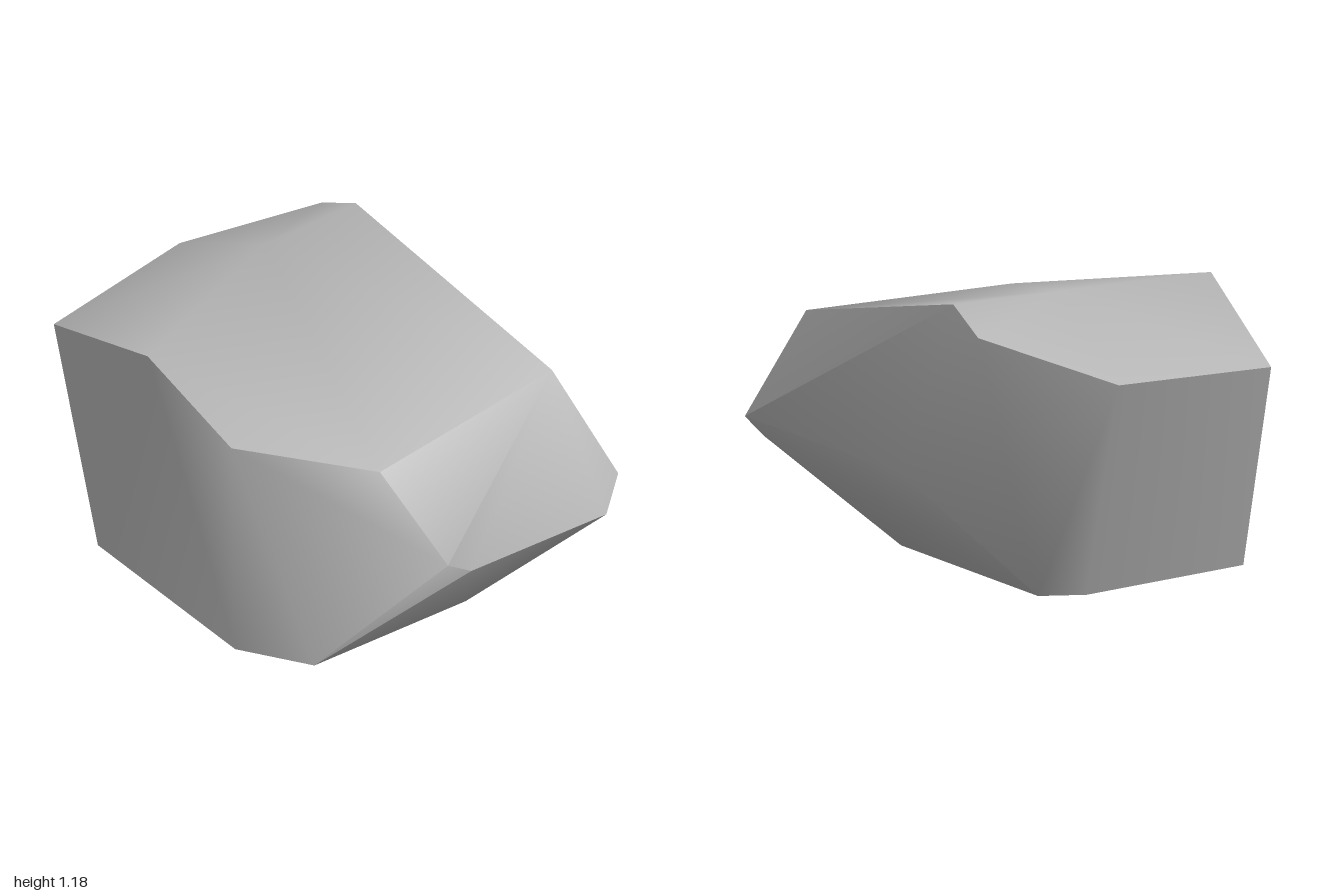
import * as THREE from 'three';
import { ConvexGeometry } from 'three/addons/geometries/ConvexGeometry.js';
import { toCreasedNormals } from 'three/addons/utils/BufferGeometryUtils.js';

// Corners of the boulder, grouped by region
const corners = [
  // roof: front edge, left corners, ridge, back edge
  [-0.42, 0.96, 0.71], [0.55, 0.96, 0.71],
  [-0.76, 1.02, 0.24], [-0.65, 1.14, -0.31],
  [0.18, 1.18, -0.47], [0.64, 1.17, -0.42], [0.66, 1.07, -0.62],
  [0.26, 0.9, -1], [-0.47, 0.89, -0.98],
  // front nose
  [-0.29, 0.57, 0.95], [-0.19, 0.51, 0.98], [0.55, 0.42, 1], [0.68, 0.52, 0.94],
  // right bulge
  [0.76, 0.49, -0.23],
  // underside
  [0.18, 0.01, 0.6], [-0.61, 0.07, 0.54], [-0.76, 0.09, 0.26],
  [-0.56, 0.05, -0.66], [0.17, 0.01, -0.65], [0.31, 0, -0.52],
];

export function createModel() {
  const stone = new THREE.MeshStandardMaterial({ color: 0xb4b4b4 });
  stone.name = 'stone grey';

  // Convex stone: gentle bends are smooth, steep edges stay sharp
  const hull = new ConvexGeometry(corners.map((p) => new THREE.Vector3(...p)));
  const boulder = new THREE.Mesh(toCreasedNormals(hull, THREE.MathUtils.degToRad(60)), stone);
  boulder.name = 'boulder';

  const group = new THREE.Group();
  group.name = 'rock';
  group.add(boulder);
  return group;
}
